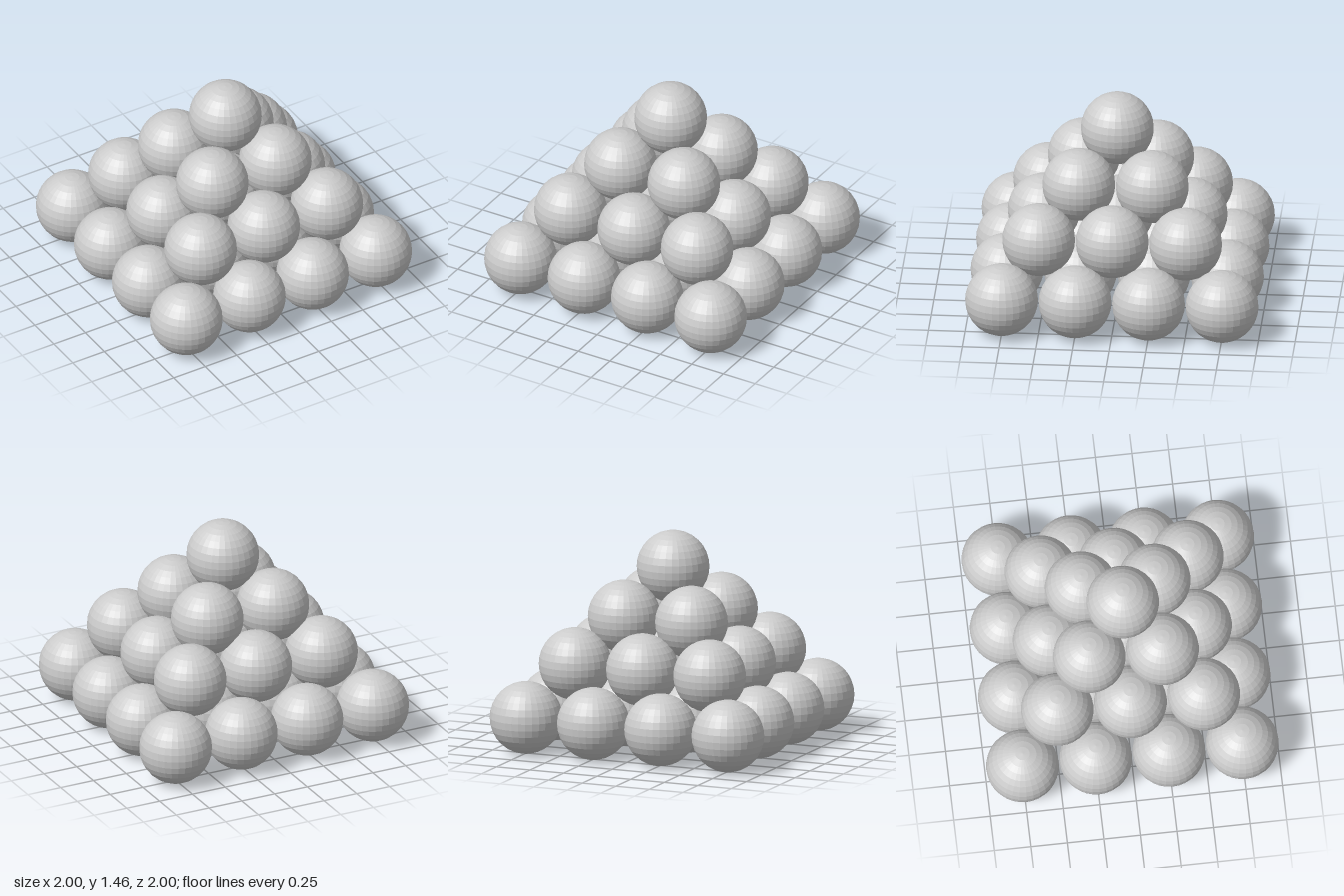
import * as THREE from 'three';

const RADIUS = 0.248;
const PITCH = 0.501;

// Each square layer: balls per side, centre height and slight hand-stacked offset
const LAYERS = [
  { name: 'bottomLayer', count: 4, x: 0, y: 0.248, z: 0 },
  { name: 'secondLayer', count: 3, x: 0.004, y: 0.592, z: 0.016 },
  { name: 'thirdLayer', count: 2, x: -0.001, y: 0.897, z: 0.012 },
  { name: 'topLayer', count: 1, x: 0, y: 1.215, z: 0.018 },
];

export function createModel() {
  const model = new THREE.Group();
  model.name = 'ballPyramid';
  const material = new THREE.MeshStandardMaterial({ color: 0xcccccc, flatShading: true });
  const ballGeometry = new THREE.SphereGeometry(RADIUS, 32, 16);

  for (const { name, count, x, y, z } of LAYERS) {
    const layer = new THREE.Group();
    layer.name = name;
    layer.position.set(x, y, z);
    const middle = (count - 1) / 2;

    // Square grid of balls centred on the layer
    for (let row = 0; row < count; row++) {
      for (let column = 0; column < count; column++) {
        const ball = new THREE.Mesh(ballGeometry, material);
        ball.name = 'ball';
        ball.position.set((column - middle) * PITCH, 0, (row - middle) * PITCH);
        layer.add(ball);
      }
    }
    model.add(layer);
  }
  return model;
}
